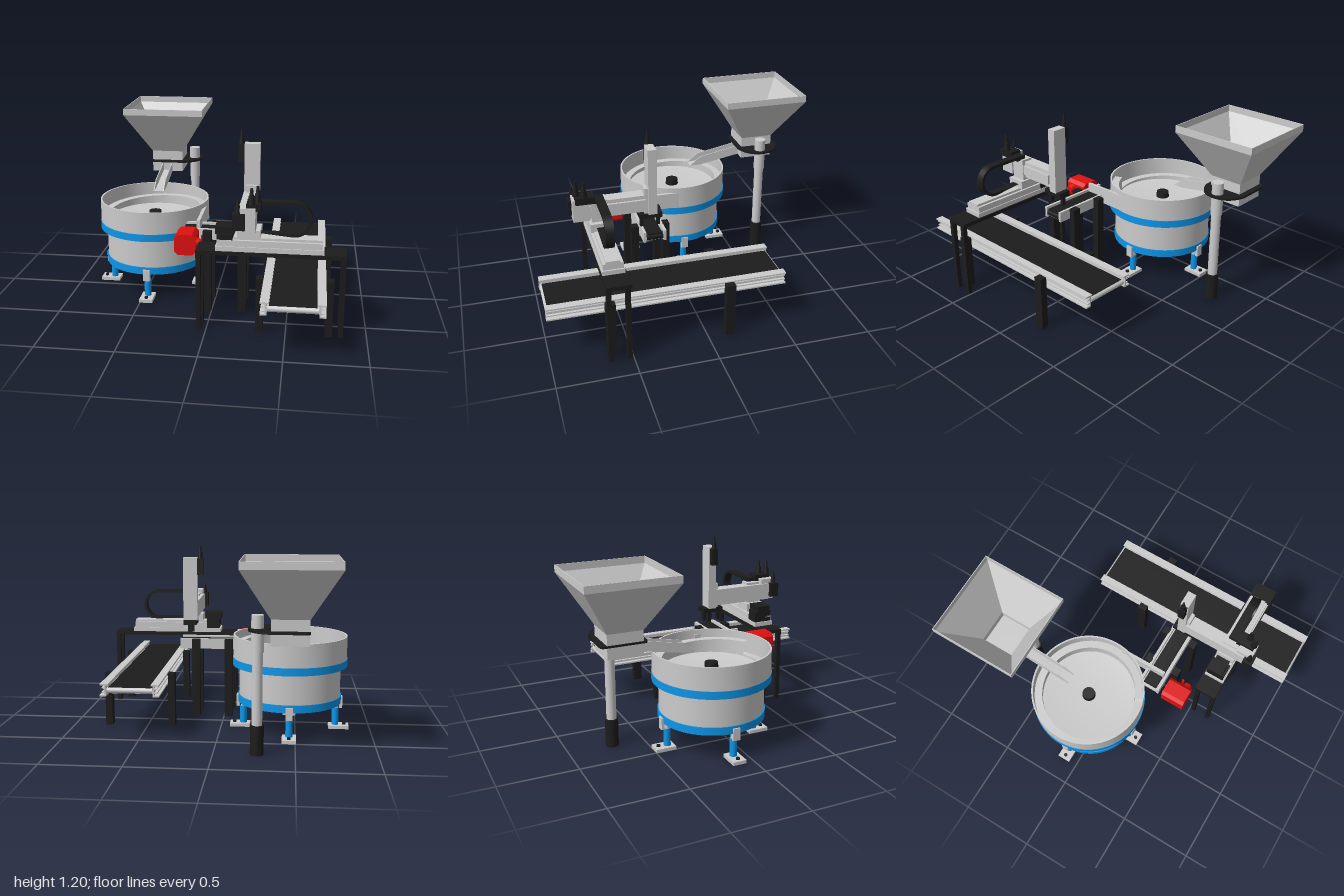
import * as THREE from 'three';
import { toCreasedNormals } from 'three/addons/utils/BufferGeometryUtils.js';
import { ParametricGeometry } from 'three/addons/geometries/ParametricGeometry.js';

const mat = (color) => new THREE.MeshStandardMaterial({ color, side: THREE.DoubleSide });
const grey = mat(0xcccccc), black = mat(0x1c1c1c), blue = mat(0x0d95e8), red = mat(0xe01010);

export function createModel() {
  const model = new THREE.Group();

  function add(name, geo, m, x = 0, y = 0, z = 0, parent = model) {
    const mesh = new THREE.Mesh(geo, m);
    mesh.name = name;
    mesh.position.set(x, y, z);
    parent.add(mesh);
    return mesh;
  }
  // Box given by its extents
  const box = (name, m, x0, x1, y0, y1, z0, z1, parent) =>
    add(name, new THREE.BoxGeometry(x1 - x0, y1 - y0, z1 - z0), m, (x0 + x1) / 2, (y0 + y1) / 2, (z0 + z1) / 2, parent);
  // Upright cylinder or cone between two heights
  const post = (name, m, x, z, y0, y1, r, rTop = r, parent) =>
    add(name, new THREE.CylinderGeometry(rTop, r, y1 - y0, 24), m, x, (y0 + y1) / 2, z, parent);
  const lathe = (pts, seg, start = 0) => toCreasedNormals(
    new THREE.LatheGeometry(pts.map(([x, y]) => new THREE.Vector2(x, y)), seg, start), 0.5);
  // Side profile (z, y) extruded along x
  function sideProfile(name, m, pts, x0, x1) {
    const shape = new THREE.Shape(pts.map(([z, y]) => new THREE.Vector2(-z, y)));
    const mesh = add(name, new THREE.ExtrudeGeometry(shape, { depth: x1 - x0, bevelEnabled: false }), m, x0);
    mesh.rotation.y = Math.PI / 2;
    return mesh;
  }
  // Sensor or valve plug with a tapered cable boot
  function plug(x, z, y0, yMid, y1, r = 0.018) {
    post('plugBoot', black, x, z, y0, yMid, r, r * 0.75);
    post('plugCable', black, x, z, yMid, y1, r * 0.6, r * 0.35);
  }

  // ---- Vibratory bowl feeder ----
  const bowl = new THREE.Group();
  bowl.name = 'bowlFeeder';
  bowl.position.set(-0.46, 0, -0.1);
  model.add(bowl);
  post('baseRing', blue, 0, 0, 0.185, 0.235, 0.345, 0.345, bowl).geometry = new THREE.CylinderGeometry(0.345, 0.345, 0.05, 64);
  add('drum', new THREE.CylinderGeometry(0.338, 0.338, 0.21, 64), grey, 0, 0.335, 0, bowl);
  add('upperRing', new THREE.CylinderGeometry(0.382, 0.382, 0.05, 64), blue, 0, 0.459, 0, bowl);
  add('bowl', lathe([[0.378, 0.48], [0.378, 0.635], [0.366, 0.635], [0.366, 0.5], [0.31, 0.49], [0, 0.497]], 64), grey, 0, 0, 0, bowl);
  // Spiral ledge climbing along the wall
  const spiral = new ParametricGeometry((u, v, out) => {
    const a = u * Math.PI * 2 + 1.2, y = 0.5 + 0.09 * u;
    const r = v === 0 ? 0.367 : 0.315;
    out.set(Math.cos(a) * r, v === 1 ? 0.49 : y, Math.sin(a) * r);
  }, 64, 2);
  add('spiralTrack', toCreasedNormals(spiral, 0.5), grey, 0, 0, 0, bowl);
  post('centreKnob', black, 0, 0, 0.49, 0.535, 0.046, 0.042, bowl);
  for (let i = 0; i < 4; i++) {
    const foot = new THREE.Group();
    foot.name = 'bowlFoot';
    foot.rotation.y = i * Math.PI / 2;
    bowl.add(foot);
    box('footPlate', grey, 0.265, 0.4, 0, 0.022, -0.045, 0.045, foot);
    post('footBolt', black, 0.37, 0, 0.022, 0.034, 0.012, 0.012, foot);
    post('footSleeve', blue, 0.31, 0, 0.022, 0.14, 0.023, 0.023, foot);
    post('footRod', grey, 0.31, 0, 0.14, 0.19, 0.018, 0.018, foot);
    box('footBracket', grey, 0.335, 0.355, 0.14, 0.22, -0.023, 0.023, foot);
  }
  box('bowlOutlet', grey, -0.107, -0.085, 0.49, 0.6, -0.05, 0.28);

  // ---- Hopper on its stand ----
  const s = Math.SQRT2;
  add('hopper', lathe([[0.001, 0.69], [0.113 * s, 0.69], [0.113 * s, 0.845], [0.289 * s, 1.145], [0.289 * s, 1.19],
    [0.284 * s, 1.19], [0.284 * s, 1.146], [0.109 * s, 0.848], [0.109 * s, 0.8], [0.001, 0.8]], 4, Math.PI / 4), grey, -0.46, 0, -0.711);
  post('standFoot', black, -0.267, -0.71, 0, 0.185, 0.042);
  post('standPole', grey, -0.267, -0.71, 0.185, 0.66, 0.032);
  post('standSleeve', grey, -0.267, -0.71, 0.63, 0.855, 0.038);
  // Clamp plate around hopper neck and pole
  const plate = new THREE.Shape();
  plate.moveTo(-0.575, -0.12);
  plate.quadraticCurveTo(-0.575, -0.147, -0.55, -0.147);
  plate.lineTo(-0.34, -0.147);
  plate.quadraticCurveTo(-0.21, -0.11, -0.21, 0);
  plate.quadraticCurveTo(-0.21, 0.11, -0.34, 0.147);
  plate.lineTo(-0.55, 0.147);
  plate.quadraticCurveTo(-0.575, 0.147, -0.575, 0.12);
  const clamp = add('clampPlate', new THREE.ExtrudeGeometry(plate, { depth: 0.014, bevelEnabled: false }), black, 0, 0.777, -0.715);
  clamp.rotation.x = Math.PI / 2;
  // Open chute from hopper neck into the bowl
  const chuteSide = [[-0.23, 0.638], [-0.31, 0.637], [-0.6, 0.69], [-0.6, 0.755], [-0.31, 0.7]];
  sideProfile('chuteSide', grey, chuteSide, -0.497, -0.491);
  sideProfile('chuteSide', grey, chuteSide, -0.429, -0.423);
  sideProfile('chuteFloor', grey, [[-0.23, 0.638], [-0.31, 0.637], [-0.6, 0.69], [-0.6, 0.698], [-0.31, 0.645]], -0.495, -0.425);

  // ---- Conveyor ----
  for (const d of [-1, 1]) {
    const side = new THREE.Group();
    side.name = 'conveyorSide';
    side.position.x = 0.55;
    side.scale.x = d;
    model.add(side);
    box('railWeb', grey, 0.15, 0.16, 0.29, 0.37, -0.52, 1, side);
    box('railTop', grey, 0.138, 0.19, 0.36, 0.37, -0.52, 1, side);
    box('railBottom', grey, 0.15, 0.19, 0.29, 0.3, -0.52, 1, side);
    for (const y of [0.312, 0.34]) box('railRib', grey, 0.15, 0.178, y, y + 0.007, -0.52, 1, side);
    for (const z of [-0.14, 0.62]) box('conveyorLeg', black, 0.192, 0.238, 0, 0.365, z - 0.03, z + 0.03, side);
  }
  box('belt', black, 0.412, 0.688, 0.335, 0.346, -0.505, 0.985);
  box('beltBed', grey, 0.4, 0.7, 0.308, 0.335, -0.505, 0.985);
  for (const z of [-0.5, 0.98]) {
    const roller = post('roller', grey, 0.55, z, 0, 0.29, 0.019);
    roller.rotation.z = Math.PI / 2;
    roller.position.y = 0.327;
  }

  // ---- Linear feeder ----
  for (const z of [0.158, 0.292]) box('feederRail', grey, -0.21, 0.315, 0.478, 0.55, z - 0.009, z + 0.009);
  box('feederTray', grey, -0.21, 0.31, 0.49, 0.515, 0.165, 0.285);
  box('feederBelt', black, -0.195, 0.31, 0.515, 0.538, 0.178, 0.274);
  const endRoller = post('feederRoller', black, 0.29, 0.225, 0, 0.11, 0.026);
  endRoller.rotation.x = Math.PI / 2;
  endRoller.position.y = 0.508;
  for (const x of [-0.03, 0.2]) for (const z of [0.13, 0.337]) {
    box('feederLeg', black, x - 0.028, x + 0.028, 0, 0.55, z - 0.024, z + 0.024);
  }

  // ---- Red control box with chamfered corners ----
  const c = 0.022, w = 0.068;
  const oct = new THREE.Shape([[-w, c - w], [c - w, -w], [w - c, -w], [w, c - w], [w, w - c], [w - c, w], [c - w, w], [-w, w - c]]
    .map(([x, y]) => new THREE.Vector2(x, y)));
  add('controlBox', new THREE.ExtrudeGeometry(oct, { depth: 0.165, bevelEnabled: false }), red, -0.152, 0.504, 0.328);
  const knob = post('controlKnob', red, -0.07, 0.45, 0, 0.03, 0.034, 0.024);
  knob.rotation.z = -Math.PI / 2;
  knob.position.y = 0.51;
  box('controlLever', red, -0.06, -0.052, 0.475, 0.545, 0.4, 0.415);

  // ---- Table ----
  box('tableTop', black, -0.06, 0.855, 0.51, 0.535, 0.5, 0.655);
  for (const x of [-0.045, 0.84]) for (const z of [0.525, 0.64]) {
    box('tableLeg', black, x - 0.015, x + 0.015, 0, 0.51, z - 0.015, z + 0.015);
  }

  // ---- Horizontal axis ----
  box('xAxisBase', grey, 0.06, 0.72, 0.535, 0.565, 0.51, 0.65);
  box('xAxisBody', grey, 0.07, 0.71, 0.565, 0.605, 0.517, 0.643);
  box('xAxisCover', grey, 0.17, 0.71, 0.605, 0.62, 0.535, 0.625);
  box('xAxisMotor', black, 0.07, 0.165, 0.565, 0.64, 0.515, 0.64);
  box('xAxisMotorCap', black, 0.057, 0.175, 0.635, 0.682, 0.53, 0.625);
  box('xCarriage', grey, 0.195, 0.335, 0.615, 0.672, 0.515, 0.645);
  box('carriageColumn', grey, 0.225, 0.305, 0.66, 0.82, 0.53, 0.63);
  // Cable chain
  const chain = new THREE.Shape();
  const [cx, cy, ro, ri] = [0.535, 0.736, 0.11, 0.09];
  chain.moveTo(0.33, cy - ro);
  chain.absarc(cx, cy, ro, -Math.PI / 2, Math.PI / 2, false);
  chain.lineTo(0.33, cy + ro);
  chain.lineTo(0.33, cy + ri);
  chain.absarc(cx, cy, ri, Math.PI / 2, -Math.PI / 2, true);
  chain.lineTo(0.33, cy - ri);
  add('cableChain', new THREE.ExtrudeGeometry(chain, { depth: 0.056, bevelEnabled: false, curveSegments: 24 }), black, 0, 0, 0.55);
  box('chainBracket', black, 0.255, 0.34, 0.82, 0.865, 0.61, 0.73);
  box('chainMount', black, 0.265, 0.335, 0.815, 0.845, 0.55, 0.61);

  // ---- Cross arm ----
  box('yArm', grey, 0.2, 0.285, 0.69, 0.805, 0.26, 0.7);
  box('yArmRail', grey, 0.285, 0.3, 0.715, 0.78, 0.28, 0.65);
  box('yArmEnd', grey, 0.21, 0.31, 0.69, 0.84, 0.64, 0.745);
  box('yArmMotor', black, 0.175, 0.25, 0.71, 0.81, 0.7, 0.765);
  plug(0.205, 0.735, 0.81, 0.855, 0.89);
  plug(0.285, 0.72, 0.865, 0.915, 0.96, 0.022);
  plug(0.318, 0.675, 0.865, 0.915, 0.96, 0.022);

  // ---- Vertical axis with gripper ----
  box('zAxis', grey, 0.2, 0.3, 0.67, 1.117, 0.205, 0.262);
  box('zAxisSlide', grey, 0.215, 0.285, 0.66, 0.85, 0.26, 0.285);
  box('zAxisMotor', black, 0.16, 0.2, 0.995, 1.11, 0.212, 0.255);
  plug(0.18, 0.235, 1.11, 1.155, 1.2);
  box('gripperPlate', black, 0.205, 0.295, 0.642, 0.674, 0.17, 0.32);
  for (const z of [0.19, 0.3]) box('gripperFinger', black, 0.235, 0.265, 0.575, 0.642, z - 0.01, z + 0.01);
  return model;
}
